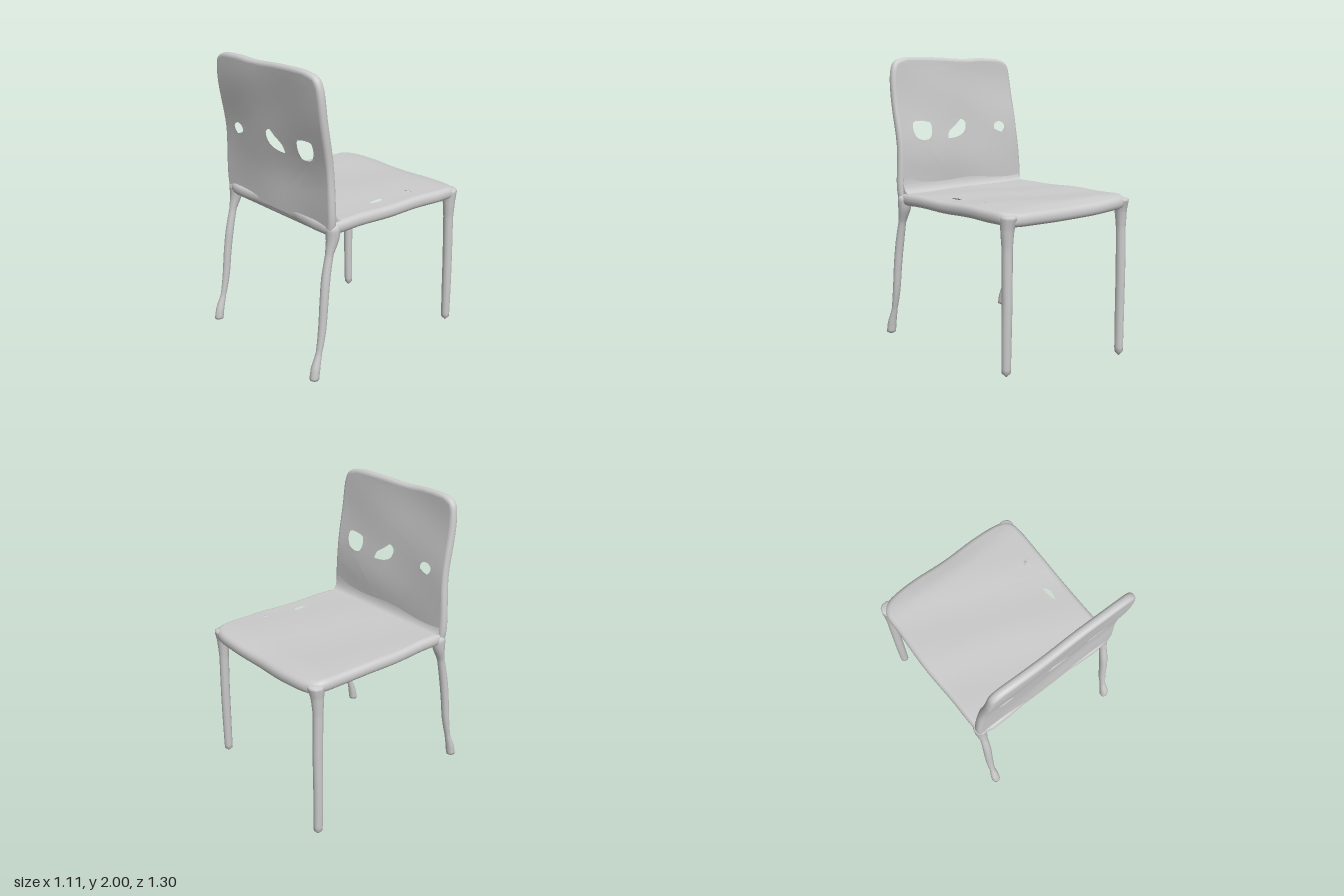
import * as THREE from 'three';
import { mergeVertices } from 'three/addons/utils/BufferGeometryUtils.js';

const material = new THREE.MeshStandardMaterial({ color: 0xcccccc });
const toVectors = (pts) => pts.map(([x, y]) => new THREE.Vector2(x, y));

// Closed smooth outline through a few points
function loopPoints(pts, divisions) {
  const curve = new THREE.CatmullRomCurve3(
    pts.map(([x, y]) => new THREE.Vector3(x, y, 0)), true, 'centripetal');
  return curve.getPoints(divisions).slice(0, -1).map((p) => [p.x, p.y]);
}

// Splits every edge longer than max at its middle, so the panel can be bent
function subdivide(geometry, max) {
  const out = [];
  const split = (t) => {
    const lengths = t.map((p, i) => p.distanceTo(t[(i + 1) % 3]));
    const longest = Math.max(...lengths);
    if (longest <= max) return t.forEach((p) => out.push(p.x, p.y, p.z));
    const i = lengths.indexOf(longest);
    const a = t[i], b = t[(i + 1) % 3], c = t[(i + 2) % 3];
    const m = a.clone().add(b).multiplyScalar(0.5);
    split([a, m, c]);
    split([m, b, c]);
  };
  const p = geometry.attributes.position;
  const at = (i) => new THREE.Vector3().fromBufferAttribute(p, i);
  for (let i = 0; i < p.count; i += 3) split([at(i), at(i + 1), at(i + 2)]);
  const g = new THREE.BufferGeometry();
  g.setAttribute('position', new THREE.Float32BufferAttribute(out, 3));
  return mergeVertices(g, 1e-4);
}

// Slab with rounded rim and holes, centred on z = 0
function panel(outline, holes, thickness) {
  const shape = new THREE.Shape(toVectors(loopPoints(outline, 80)));
  holes.forEach((h) => shape.holes.push(new THREE.Path(toVectors(loopPoints(h, 20)))));
  const bevel = thickness * 0.42;
  const g = new THREE.ExtrudeGeometry(shape, {
    depth: thickness - 2 * bevel, bevelThickness: bevel, bevelSize: bevel,
    bevelOffset: -bevel, bevelSegments: 4, curveSegments: 1,
  });
  g.translate(0, 0, bevel - thickness / 2);
  return subdivide(g, 0.08);
}

// Moves each vertex by a rule
function deform(geometry, rule) {
  const p = geometry.attributes.position;
  const v = new THREE.Vector3();
  for (let i = 0; i < p.count; i++) {
    rule(v.fromBufferAttribute(p, i));
    p.setXYZ(i, v.x, v.y, v.z);
  }
  geometry.computeVertexNormals();
  return geometry;
}

const ripple = (a, b) =>
  0.003 * (Math.sin(9 * a + 2 * b) + Math.sin(13 * b - 5 * a + 1));

// Leg along a curve; each point is [x, y, z, radius], top first
function leg(points) {
  const curve = new THREE.CatmullRomCurve3(
    points.map((p) => new THREE.Vector3(p[0], p[1], p[2])), false, 'centripetal');
  const g = new THREE.SphereGeometry(1, 10, 48);
  const p = g.attributes.position, uv = g.attributes.uv;
  const length = curve.getLength();
  for (let i = 0; i < p.count; i++) {
    const t = 1 - uv.getY(i);
    const c = curve.getPoint(t);
    const s = t * (points.length - 1);
    const k = Math.min(Math.floor(s), points.length - 2);
    const r = THREE.MathUtils.lerp(points[k][3], points[k + 1][3], s - k);
    const d = Math.min(1, (Math.min(t, 1 - t) * length) / r);
    const ring = r * Math.sqrt(Math.max(0, d * (2 - d)));
    const angle = uv.getX(i) * Math.PI * 2;
    p.setXYZ(i, c.x - Math.cos(angle) * ring, c.y, c.z + Math.sin(angle) * ring);
  }
  g.deleteAttribute('uv');
  g.deleteAttribute('normal');
  const merged = mergeVertices(g, 1e-5);
  merged.computeVertexNormals();
  return merged;
}

export function createModel() {
  const model = new THREE.Group();
  const add = (name, geometry) => {
    const mesh = new THREE.Mesh(geometry, material);
    mesh.name = name;
    model.add(mesh);
  };

  // Seat, drawn as (x, -z) and laid flat, with two worn holes
  const seat = panel(
    [[-0.52, -0.485], [-0.54, -0.42], [-0.545, -0.2], [-0.557, 0.1], [-0.545, 0.4],
      [-0.543, 0.53], [-0.52, 0.585], [-0.46, 0.622], [-0.26, 0.645], [0, 0.638],
      [0.26, 0.645], [0.46, 0.63], [0.525, 0.6], [0.55, 0.54], [0.548, 0.2],
      [0.542, -0.2], [0.54, -0.42], [0.52, -0.485], [0, -0.485]],
    [
      [[0.37, 0.07], [0.42, 0.075], [0.46, 0.02], [0.455, -0.05], [0.43, -0.1],
        [0.39, -0.09], [0.365, -0.02]],
      [[0.43, 0.3], [0.437, 0.26], [0.432, 0.235], [0.421, 0.26]],
    ], 0.08);
  seat.rotateX(-Math.PI / 2);
  add('seat', deform(seat, (v) => {
    const front = THREE.MathUtils.smoothstep(-v.z, 0.5, 0.65);
    v.y += 1.066 + ripple(v.x, v.z) - 0.02 * front;
  }));

  // Backrest, curving backwards towards the top
  const back = panel(
    [[-0.52, 1.04], [-0.545, 1.1], [-0.54, 1.3], [-0.522, 1.48], [-0.515, 1.7],
      [-0.505, 1.87], [-0.485, 1.95], [-0.43, 1.985], [-0.25, 1.998], [-0.08, 1.99],
      [0.15, 1.998], [0.42, 1.993], [0.5, 1.965], [0.53, 1.9], [0.54, 1.7],
      [0.535, 1.4], [0.543, 1.1], [0.52, 1.04], [0, 1.04]],
    [
      [[-0.42, 1.51], [-0.4, 1.55], [-0.35, 1.57], [-0.29, 1.55], [-0.275, 1.49],
        [-0.32, 1.46], [-0.38, 1.45]],
      [[-0.06, 1.56], [0, 1.6], [0.06, 1.56], [0.14, 1.5], [0.15, 1.43],
        [0.1, 1.425], [0, 1.445], [-0.05, 1.49]],
      [[0.25, 1.57], [0.29, 1.59], [0.42, 1.59], [0.44, 1.52], [0.4, 1.44],
        [0.28, 1.43], [0.24, 1.5]],
    ], 0.055);
  add('backrest', deform(back, (v) => {
    const lean = THREE.MathUtils.smoothstep(v.y, 1.25, 2.05);
    v.z += 0.464 + 0.085 * lean + ripple(v.x, v.y);
  }));

  // Concave blend between seat and backrest
  const corner = new THREE.Shape();
  corner.moveTo(-0.47, 1.07);
  corner.lineTo(-0.385, 1.1);
  corner.quadraticCurveTo(-0.437, 1.105, -0.44, 1.2);
  corner.lineTo(-0.47, 1.2);
  const blend = new THREE.ExtrudeGeometry(corner, { depth: 1.04, bevelEnabled: false });
  blend.translate(0, 0, -0.52);
  blend.rotateY(Math.PI / 2);
  add('seatBackBlend', blend);

  // Rounded rail under the rear edge
  const rail = new THREE.CapsuleGeometry(0.042, 0.98, 6, 12);
  rail.rotateZ(Math.PI / 2);
  rail.translate(0, 1.05, 0.445);
  add('rearRail', rail);

  // Front legs: the right one is a little longer
  add('frontLegRight', leg([[-0.495, 1.09, -0.575, 0.06], [-0.505, 1.0, -0.57, 0.042],
    [-0.51, 0.88, -0.57, 0.033], [-0.51, 0.6, -0.575, 0.033],
    [-0.51, 0.3, -0.575, 0.032], [-0.507, 0, -0.578, 0.03]]));
  add('frontLegLeft', leg([[0.495, 1.09, -0.575, 0.06], [0.508, 1.0, -0.57, 0.042],
    [0.51, 0.88, -0.57, 0.033], [0.515, 0.6, -0.575, 0.032],
    [0.52, 0.35, -0.575, 0.031], [0.523, 0.11, -0.575, 0.028]]));

  // Rear legs splay backwards, thin out and end in a small bulb
  for (const [name, side, dz] of [['rearLegLeft', 1, -0.008], ['rearLegRight', -1, 0.004]]) {
    add(name, leg([[0.5, 1.1, 0.445, 0.055], [0.508, 1.0, 0.45, 0.042],
      [0.51, 0.9, 0.478, 0.026], [0.513, 0.75, 0.51, 0.029], [0.518, 0.6, 0.53, 0.028],
      [0.521, 0.42, 0.55, 0.026], [0.523, 0.28, 0.578, 0.02],
      [0.525, 0.18, 0.608, 0.03], [0.526, 0.095, 0.622, 0.032]]
      .map(([x, y, z, r]) => [x * side, y, z + dz * (1.1 - y), r])));
  }
  return model;
}
